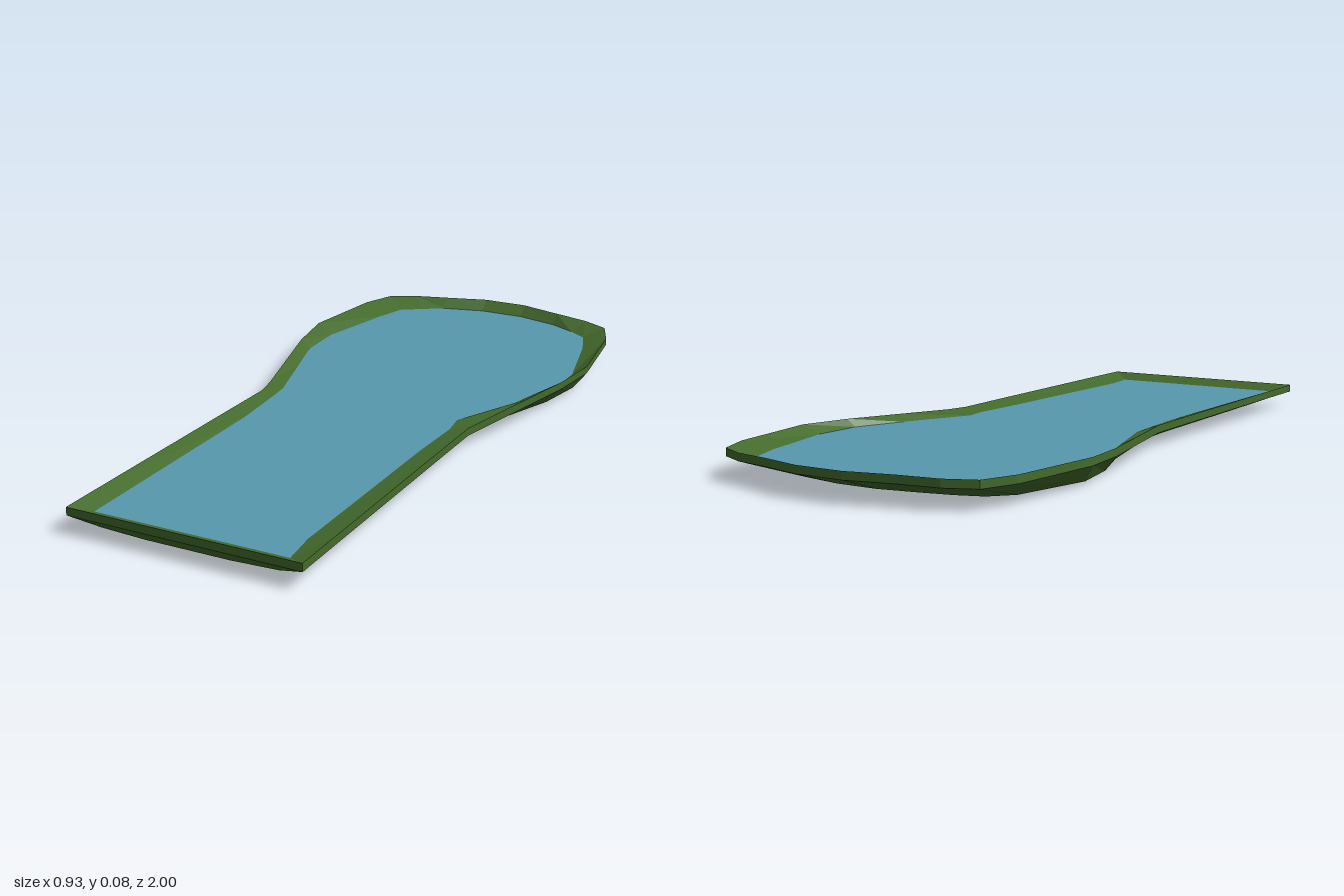
import * as THREE from 'three';

const WATER_Y = 0.05;

// Stations from the rear middle, along the side, to the front middle:
// [rim x, rim z, rim y, shore x on +x side, shore x on -x side, shore z, base x, base z, base y]
const STATIONS = [
  [0.07, -1.0, 0.08, 0.07, 0.07, -0.965, 0.06, -0.86, 0.012],
  [0.20, -0.965, 0.079, 0.20, 0.20, -0.932, 0.17, -0.84, 0.012],
  [0.31, -0.94, 0.077, 0.28, 0.265, -0.89, 0.26, -0.82, 0.012],
  [0.39, -0.90, 0.076, 0.335, 0.325, -0.85, 0.33, -0.79, 0.011],
  [0.43, -0.80, 0.076, 0.37, 0.355, -0.75, 0.38, -0.73, 0.01],
  [0.465, -0.52, 0.077, 0.425, 0.41, -0.50, 0.43, -0.50, 0.009],
  [0.44, -0.36, 0.073, 0.42, 0.405, -0.35, 0.40, -0.35, 0.008],
  [0.395, -0.19, 0.068, 0.36, 0.36, -0.20, 0.34, -0.19, 0.008],
  [0.345, 0.0, 0.062, 0.265, 0.30, 0.0, 0.28, 0.0, 0.007],
  [0.33, 0.07, 0.062, 0.275, 0.293, 0.07, 0.26, 0.07, 0.007],
  [0.33, 0.25, 0.064, 0.267, 0.28, 0.25, 0.25, 0.25, 0.009],
  [0.33, 0.85, 0.069, 0.26, 0.28, 0.85, 0.25, 0.85, 0.016],
  [0.33, 1.0, 0.07, 0.272, 0.28, 0.955, 0.25, 0.97, 0.02],
  [0.14, 1.0, 0.07, 0.12, 0.12, 0.955, 0.12, 0.97, 0.015],
];
const N = STATIONS.length;

// Closed loop: down the +x side, then back up the -x side.
function ring(pointAt) {
  const right = STATIONS.map((s) => pointAt(s, 1));
  const left = STATIONS.map((s) => pointAt(s, -1)).reverse();
  return [...right, ...left];
}

// Joins consecutive loops; optionally closes the first (facing down) and last (facing up).
function loft(rings, capFirst, capLast) {
  const count = 2 * N;
  const index = [];
  const quad = (a, b, c, d) => index.push(a, b, c, a, c, d);
  for (let r = 0; r < rings.length - 1; r++) {
    for (let i = 0; i < count; i++) {
      const a = r * count;
      const j = (i + 1) % count;
      quad(a + i, a + count + i, a + count + j, a + j);
    }
  }
  const last = (rings.length - 1) * count;
  for (let i = 0; i < N - 1; i++) {
    const l = count - 1 - i;
    if (capFirst) quad(i, i + 1, l - 1, l);
    if (capLast) quad(last + i, last + l, last + l - 1, last + i + 1);
  }
  const geometry = new THREE.BufferGeometry();
  geometry.setAttribute('position', new THREE.Float32BufferAttribute(rings.flat(2), 3));
  geometry.setIndex(index);
  geometry.computeVertexNormals();
  return geometry;
}

function part(name, geometry, color) {
  const mesh = new THREE.Mesh(geometry, new THREE.MeshStandardMaterial({ color, flatShading: true }));
  mesh.name = name;
  return mesh;
}

export function createModel() {
  const group = new THREE.Group();
  group.name = 'pond';

  const shoreX = (s, side) => side * (side > 0 ? s[3] : s[4]);
  const keel = ring((s, side) => [side * s[6] * 0.45, s[8] - 0.007, s[7] * 0.96]);
  const base = ring((s, side) => [side * s[6], s[8], s[7]]);
  const lip = ring((s, side) => [side * s[0], s[2] - 0.022, s[1]]);
  const rim = ring((s, side) => [side * s[0], s[2], s[1]]);
  const shore = ring((s, side) => [shoreX(s, side), WATER_Y, s[5]]);
  const bed = ring((s, side) => [shoreX(s, side) * 0.88, 0.032, s[5] * 0.95]);

  // Grassy basin: underside, outer edge, sloping banks and hidden bed
  group.add(part('grassBasin', loft([keel, base, lip, rim, shore, bed], true, true), 0x446b2c));
  // Flat water sheet meeting the banks at the shore line
  group.add(part('water', loft([shore], false, true), 0x5799ae));
  return group;
}
